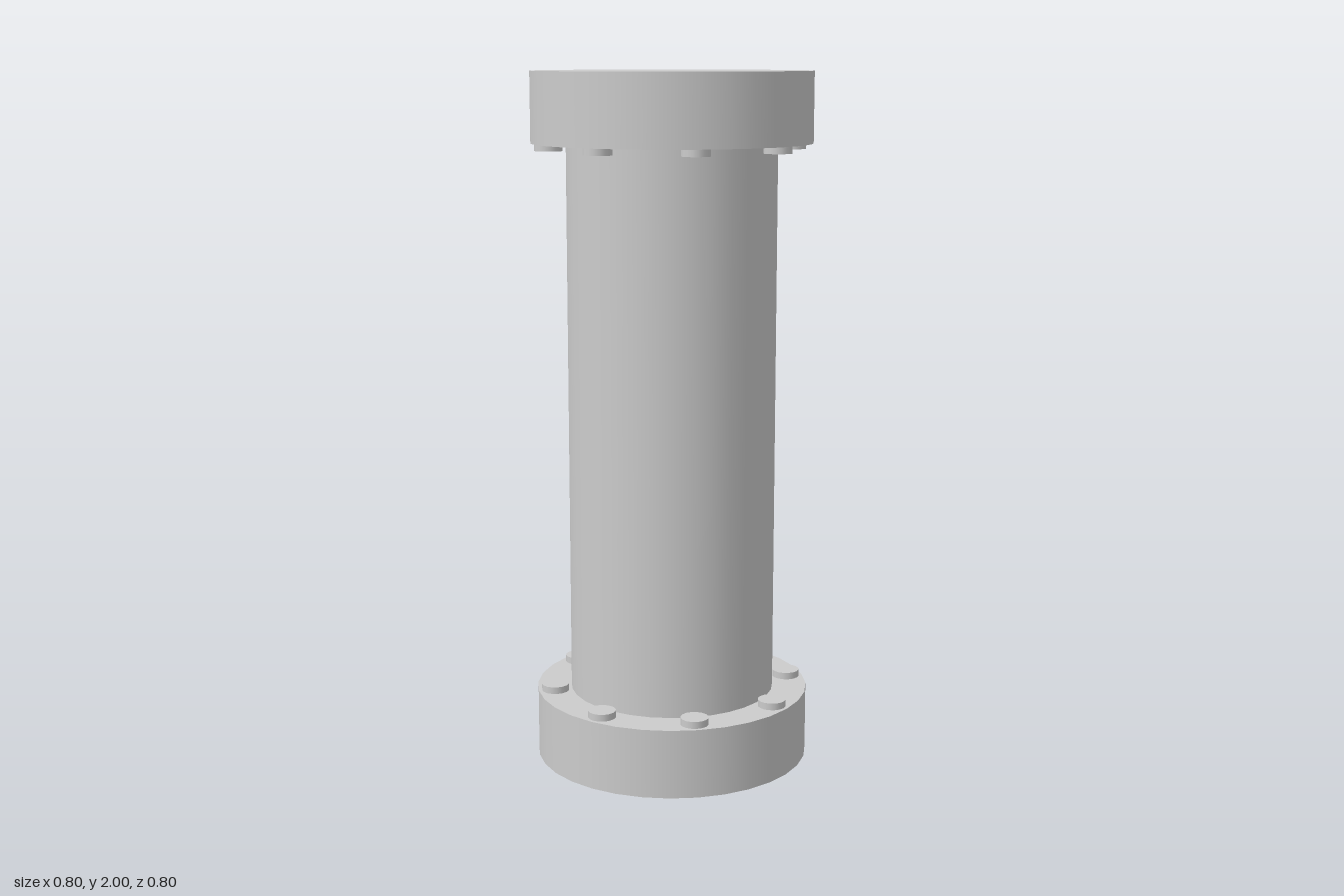
import * as THREE from 'three';

export function createModel() {
  const model = new THREE.Group();
  model.name = 'flangedColumn';
  const material = new THREE.MeshStandardMaterial({ color: 0xcccccc });

  const addCylinder = (name, radius, height, sides, x, y, z) => {
    const mesh = new THREE.Mesh(new THREE.CylinderGeometry(radius, radius, height, sides), material);
    mesh.name = name;
    mesh.position.set(x, y, z);
    model.add(mesh);
  };

  // Shaft between the two flanges
  addCylinder('shaft', 0.3, 1.6, 32, 0, 1, 0);

  // Each flange carries a ring of bolt heads on its inner face
  const boltCount = 8, boltRing = 0.35;
  for (const [end, flangeY, boltY] of [['bottom', 0.1, 0.21], ['top', 1.9, 1.79]]) {
    addCylinder(end + 'Flange', 0.4, 0.2, 32, 0, flangeY, 0);
    for (let i = 0; i < boltCount; i++) {
      const a = (i / boltCount) * Math.PI * 2;
      addCylinder(end + 'Bolt' + (i + 1), 0.04, 0.02, 16, boltRing * Math.cos(a), boltY, boltRing * Math.sin(a));
    }
  }
  return model;
}
